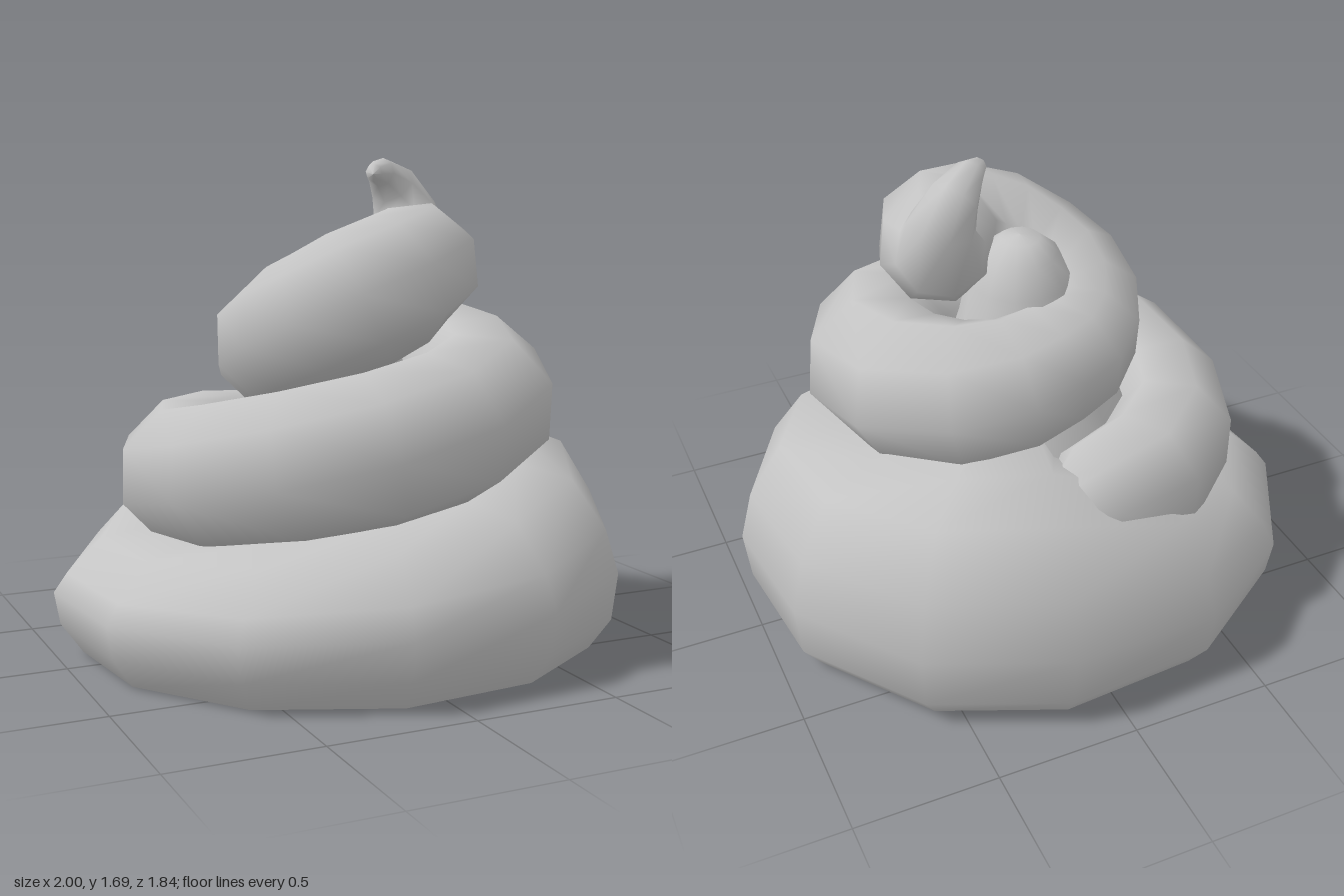
import * as THREE from 'three';

const clay = new THREE.MeshStandardMaterial({ color: 0xc4c4c4 });
clay.name = 'grey clay';

// Smooth skin over equal-length closed loops of points
function skin(name, loops) {
  const n = loops[0].length, index = [];
  for (let i = 0; i < loops.length - 1; i++) {
    for (let j = 0; j < n; j++) {
      const a = i * n + j, b = i * n + (j + 1) % n;
      index.push(a, b, b + n, a, b + n, a + n);
    }
  }
  const geometry = new THREE.BufferGeometry().setFromPoints(loops.flat());
  geometry.setIndex(index);
  geometry.computeVertexNormals();
  const mesh = new THREE.Mesh(geometry, clay);
  mesh.name = name;
  return mesh;
}

// Point around the y axis: 0 = back, 90 = -x, 180 = front, 270 = +x
function polar(deg, radius, y) {
  const a = THREE.MathUtils.degToRad(deg);
  return new THREE.Vector3(-radius * Math.sin(a), y, -radius * Math.cos(a));
}

// Bottom coil: twelve corners as x, z and coil height
const baseCorners = [
  [0.19, -0.92, 0.82], [-0.35, -0.88, 0.65], [-0.76, -0.6, 0.5], [-1, -0.16, 0.45],
  [-0.95, 0.31, 0.45], [-0.66, 0.71, 0.48], [-0.17, 0.92, 0.53], [0.36, 0.87, 0.58],
  [0.78, 0.6, 0.66], [1, 0.16, 0.73], [0.95, -0.31, 0.77], [0.65, -0.72, 0.81],
];
function baseLoop(inset, y0, yScale) {
  return baseCorners.map(([x, z, h]) => {
    const s = 1 - inset / Math.hypot(x, z);
    return new THREE.Vector3(x * s, y0 + yScale * h, z * s);
  });
}

// Upper coil keys: angle, centre radius, height, thickness
const coilKeys = [
  [30, 0.54, 0.62, 0.22], [90, 0.555, 0.625, 0.225], [140, 0.555, 0.715, 0.235],
  [180, 0.54, 0.79, 0.24], [225, 0.515, 0.87, 0.24], [270, 0.45, 0.93, 0.24],
  [300, 0.375, 0.96, 0.235], [330, 0.285, 0.98, 0.22], [360, 0.225, 1.0, 0.21],
  [405, 0.215, 1.02, 0.205], [450, 0.225, 1.08, 0.215], [500, 0.25, 1.165, 0.22],
  [540, 0.285, 1.26, 0.225], [580, 0.29, 1.335, 0.205], [612, 0.26, 1.36, 0.185],
];
function coilAt(deg) {
  let i = 0;
  while (i < coilKeys.length - 2 && coilKeys[i + 1][0] < deg) i++;
  const [a, b] = [coilKeys[i], coilKeys[i + 1]];
  const t = (deg - a[0]) / (b[0] - a[0]);
  return a.map((v, k) => v + (b[k] - v) * t);
}

function upperCoil() {
  const rings = [];
  const addPolar = ([deg, radius, y, r]) => rings.push({ p: polar(deg, radius, y), r });
  // rounded start
  [[-9, 0.54, 0.63, 0.001], [-7, 0.54, 0.63, 0.11], [2, 0.54, 0.63, 0.19]].forEach(addPolar);
  // two turns
  for (let k = 0; k <= 21; k++) addPolar(coilAt(30 + (582 / 21) * k));
  // curled tip
  [[0.285, 1.41, -0.05, 0.14], [0.29, 1.52, -0.075, 0.108], [0.235, 1.61, -0.065, 0.078],
    [0.16, 1.652, -0.005, 0.048], [0.115, 1.65, 0.035, 0.028], [0.105, 1.645, 0.05, 0.001]]
    .forEach(([x, y, z, r]) => rings.push({ p: new THREE.Vector3(x, y, z), r }));

  const sides = 8;
  const normal = polar(-9, 1, 0);
  const loops = rings.map(({ p, r }, i) => {
    const next = rings[Math.min(i + 1, rings.length - 1)].p;
    const tangent = next.clone().sub(rings[Math.max(i - 1, 0)].p).normalize();
    normal.addScaledVector(tangent, -normal.dot(tangent)).normalize();
    const binormal = tangent.clone().cross(normal);
    const corner = r / Math.cos(Math.PI / sides);
    return Array.from({ length: sides }, (_, j) => {
      const a = ((j + 0.5) / sides) * Math.PI * 2;
      return p.clone()
        .addScaledVector(normal, corner * Math.cos(a))
        .addScaledVector(binormal, corner * Math.sin(a));
    });
  });
  return skin('upperCoil', loops);
}

export function createModel() {
  const group = new THREE.Group();
  group.name = 'swirl';

  // Bottom coil wall and sloping top
  group.add(skin('bottomCoil', [
    baseLoop(0.095, 0.015, 0), baseLoop(0.02, 0.12, 0), baseLoop(0, 0.12, 0.25),
    baseLoop(0.045, 0, 0.66), baseLoop(0.165, 0, 0.92), baseLoop(0.36, 0, 1), baseLoop(0.75, 0, 1),
  ]));

  // Flat underside
  const centre = baseCorners.map(() => new THREE.Vector3(0, 0.01, 0));
  group.add(skin('underside', [centre, baseLoop(0.095, 0.015, 0)]));

  group.add(upperCoil());

  // Inner core filling the gaps between coils
  const profile = [[0.45, 0.4], [0.42, 0.7], [0.27, 0.9], [0.21, 1.1], [0.18, 1.24], [0.13, 1.34], [0.07, 1.39], [0, 1.4]];
  const core = new THREE.Mesh(
    new THREE.LatheGeometry(profile.map(([x, y]) => new THREE.Vector2(x, y)), 12), clay);
  core.name = 'core';
  core.position.set(-0.01, 0, -0.02);
  group.add(core);

  return group;
}
